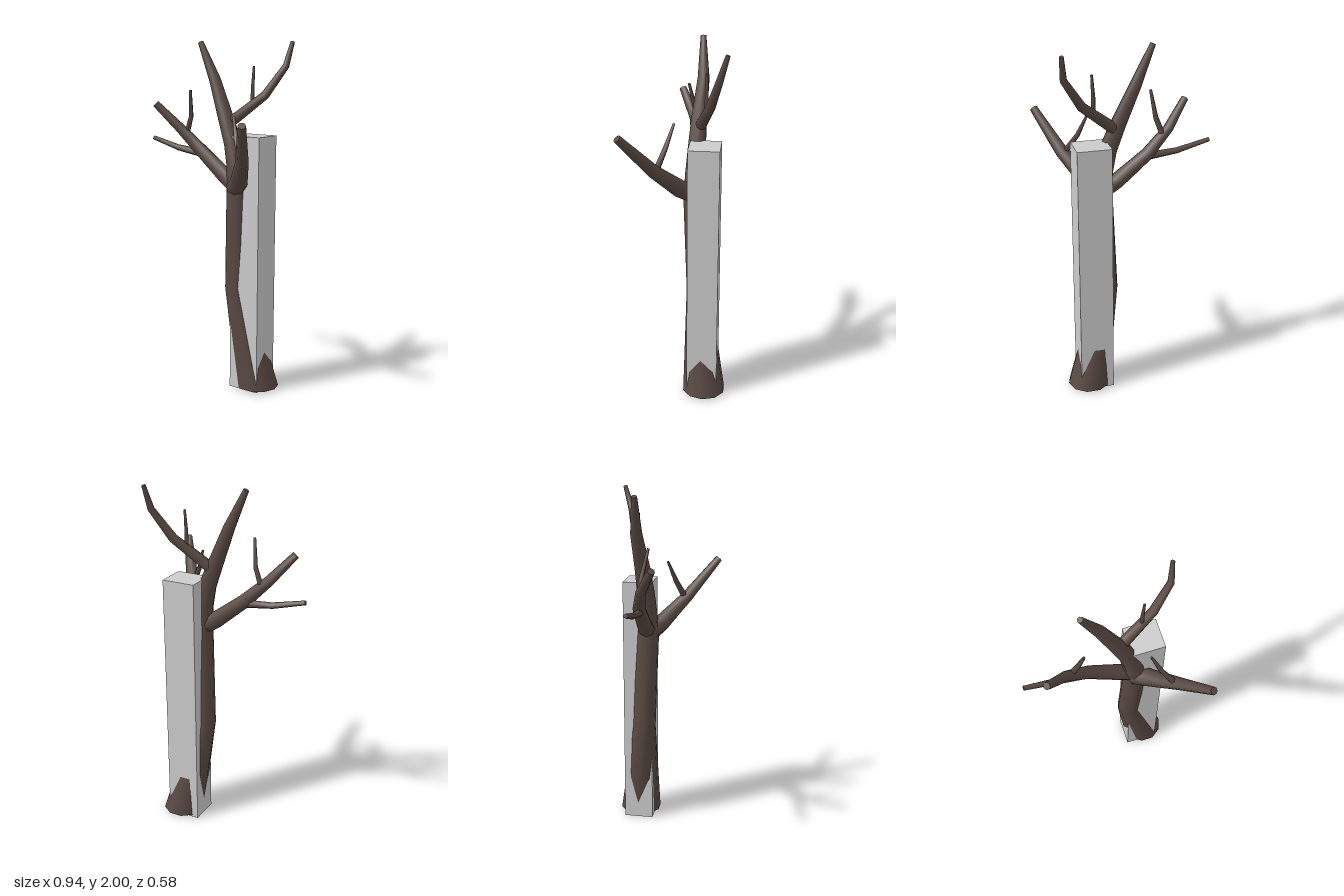
import * as THREE from 'three';

// Smooth tapered limb through points [x, y, z, radius], open at the root and capped at the tip
function limb(name, points, sides, material, levelRoot = false) {
  const centres = points.map(p => new THREE.Vector3(p[0], p[1], p[2]));
  const zAxis = new THREE.Vector3(0, 0, 1);
  const pos = [], index = [];
  const last = points.length - 1;
  const addRing = (k) => {
    const t = new THREE.Vector3();
    if (k > 0) t.add(centres[k].clone().sub(centres[k - 1]).normalize());
    if (k < last) t.add(centres[k + 1].clone().sub(centres[k]).normalize());
    if (k === 0 && levelRoot) t.set(0, 1, 0);
    t.normalize();
    const u = t.clone().cross(zAxis).normalize();
    const v = u.clone().cross(t);
    for (let i = 0; i < sides; i++) {
      const a = i / sides * Math.PI * 2;
      const p = centres[k].clone()
        .addScaledVector(u, Math.cos(a) * points[k][3])
        .addScaledVector(v, Math.sin(a) * points[k][3]);
      pos.push(p.x, p.y, p.z);
    }
  };
  for (let k = 0; k <= last; k++) addRing(k);
  for (let k = 0; k < last; k++) {
    for (let i = 0; i < sides; i++) {
      const a = k * sides + i, b = k * sides + (i + 1) % sides;
      index.push(a, a + sides, b, b, a + sides, b + sides);
    }
  }
  // Tip cap with its own vertices for a hard edge
  const rim = pos.length / 3;
  addRing(last);
  pos.push(...centres[last].toArray());
  for (let i = 0; i < sides; i++) index.push(rim + sides, rim + (i + 1) % sides, rim + i);

  const geo = new THREE.BufferGeometry();
  geo.setAttribute('position', new THREE.Float32BufferAttribute(pos, 3));
  geo.setIndex(index);
  geo.computeVertexNormals();
  const mesh = new THREE.Mesh(geo, material);
  mesh.name = name;
  return mesh;
}

export function createModel() {
  const model = new THREE.Group();
  model.name = 'bareTreeWithPost';

  const bark = new THREE.MeshStandardMaterial({ color: 0x594943 });
  bark.name = 'dark bark';
  const pale = new THREE.MeshStandardMaterial({ color: 0xcccccc });
  pale.name = 'pale grey';

  // Square post running through the trunk
  const post = new THREE.Mesh(new THREE.BoxGeometry(0.19, 1.475, 0.17), pale);
  post.position.set(0.217, 0.7375, -0.16);
  post.name = 'post';
  model.add(post);

  // Trunk, bending and rising into the leader
  model.add(limb('trunk', [
    [0.253, 0.01, -0.17, 0.122], [0.133, 0.6, -0.123, 0.067], [0.152, 1.17, -0.103, 0.065],
    [0.142, 1.3, -0.105, 0.058], [0.11, 1.43, -0.108, 0.05], [0.055, 1.57, -0.114, 0.044],
    [-0.035, 1.78, -0.13, 0.033], [-0.13, 1.99, -0.12, 0.016],
  ], 10, bark, true));

  // Main branches
  model.add(limb('leftSideBranch', [
    [0.17, 1.17, -0.1, 0.05], [0.06, 1.24, -0.105, 0.046], [-0.11, 1.375, -0.1, 0.038],
    [-0.24, 1.5, -0.065, 0.029], [-0.358, 1.64, 0.013, 0.021],
  ], 8, bark));
  model.add(limb('frontBranch', [
    [0.145, 1.18, -0.09, 0.055], [0.21, 1.225, -0.03, 0.05],
    [0.325, 1.36, 0.1, 0.036], [0.445, 1.57, 0.27, 0.022],
  ], 8, bark));
  model.add(limb('upperBranch', [
    [0.08, 1.545, -0.125, 0.032], [0.27, 1.7, -0.19, 0.026],
    [0.372, 1.86, -0.24, 0.019], [0.387, 1.992, -0.28, 0.012],
  ], 8, bark));

  // Twigs
  const twigs = {
    outerTwig: [[-0.1, 1.36, -0.095, 0.024], [-0.28, 1.38, -0.1, 0.018], [-0.468, 1.427, -0.097, 0.013]],
    risingTwig: [[-0.205, 1.465, -0.085, 0.017], [-0.165, 1.57, -0.075, 0.014], [-0.143, 1.72, -0.042, 0.008]],
    upperTwig: [[0.203, 1.65, -0.165, 0.013], [0.203, 1.74, -0.165, 0.011], [0.21, 1.858, -0.165, 0.007]],
    frontTwig: [[0.305, 1.37, 0.085, 0.018], [0.245, 1.47, 0.045, 0.014], [0.2, 1.588, 0.006, 0.007]],
  };
  for (const [name, path] of Object.entries(twigs)) model.add(limb(name, path, 6, bark));

  return model;
}
